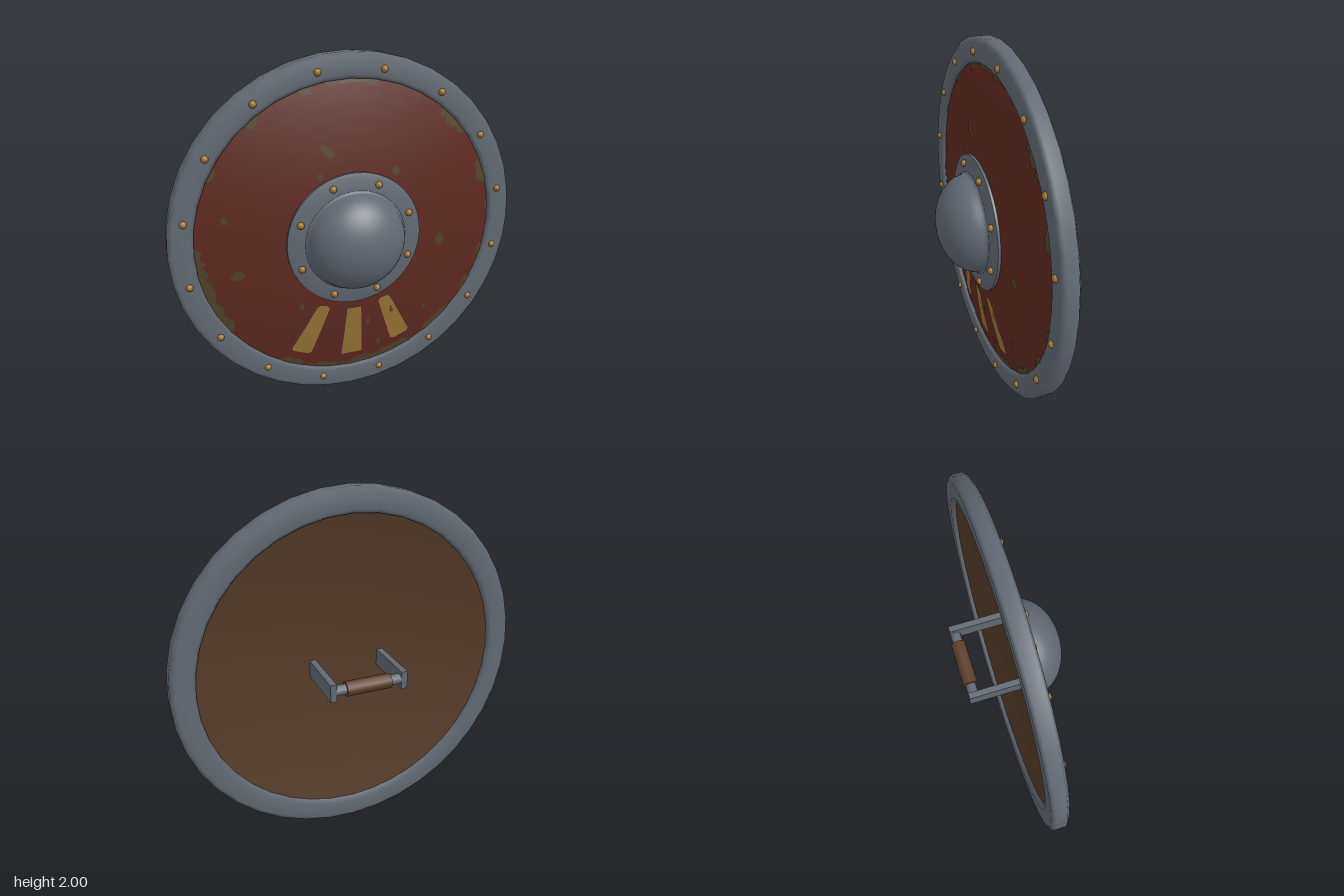
import * as THREE from 'three';
import { toCreasedNormals } from 'three/addons/utils/BufferGeometryUtils.js';

const mat = (name, color) => {
  const m = new THREE.MeshStandardMaterial({ color });
  m.name = name;
  return m;
};

// Height of the shallow dome of the board's front face at radius r
const boardZ = (r) => 0.086 - 0.125 * r * r;

// Surface of revolution about the z axis from [radius, z] points
function turned(points, segments) {
  const g = new THREE.LatheGeometry(points.map(([r, z]) => new THREE.Vector2(r, z)), segments);
  return g.rotateX(Math.PI / 2);
}

// Thin painted patch laid on the dome of the board
function paintPatch(points, lift) {
  const g = new THREE.ShapeGeometry(new THREE.Shape(points.map(([x, y]) => new THREE.Vector2(x, y))));
  const p = g.attributes.position;
  for (let i = 0; i < p.count; i++) p.setZ(i, boardZ(Math.hypot(p.getX(i), p.getY(i))) + lift);
  g.computeVertexNormals();
  return g;
}

export function createModel() {
  const steel = mat('steel', 0x626973);
  const red = mat('red paint', 0x5e2a21);
  const wood = mat('wood', 0x543b29);
  const bare = mat('worn wood', 0x52432d);
  const yellow = mat('yellow paint', 0x987636);
  const brass = mat('brass', 0xa07432);
  const leather = mat('leather', 0x5c3e2b);

  const model = new THREE.Group();
  model.name = 'roundShield';
  const shield = new THREE.Group();
  shield.name = 'shieldBody';
  shield.position.y = 1;
  model.add(shield);
  const add = (name, geometry, material, parent = shield) => {
    const m = new THREE.Mesh(geometry, material);
    m.name = name;
    parent.add(m);
    return m;
  };

  let seed = 7;
  const random = () => (seed = (seed * 16807) % 2147483647) / 2147483647;

  // Board: a domed shell, painted in front and bare wood in the hollow back
  const front = [], back = [];
  for (let i = 0; i <= 12; i++) {
    const r = (0.9 * i) / 12;
    front.unshift([r, boardZ(r)]);
    back.push([r, boardZ(r) - 0.046]);
  }
  add('boardFront', turned(front, 64), red);
  add('boardBack', turned(back, 64), wood);

  // Rim band wrapped around the edge, with softly shaded bevels
  add('rim', turned([
    [0.865, -0.03], [0.865, -0.062], [0.885, -0.08], [0.975, -0.08], [1, -0.064],
    [1, -0.002], [0.975, 0.015], [0.885, 0.015], [0.865, 0.005], [0.865, -0.03],
  ], 40), steel);

  // Central boss: flange and dome with a small flare at its foot
  const flange = turned([[0.385, 0.05], [0.385, 0.082], [0.37, 0.088], [0.29, 0.098], [0, 0.098]], 48);
  add('bossFlange', toCreasedNormals(flange, 0.4), steel);
  const dome = [[0.292, 0.096], [0.281, 0.104]];
  for (let i = 1; i <= 14; i++) {
    const a = (i / 14) * Math.PI / 2;
    dome.push([0.278 * Math.cos(a), 0.09 + 0.205 * Math.sin(a)]);
  }
  add('bossDome', turned(dome, 48), steel);

  // Rivets on rim and flange
  const rivetGeometry = new THREE.SphereGeometry(0.02, 12, 8);
  for (const [name, count, r, z] of [['rimRivet', 16, 0.922, 0.013], ['bossRivet', 8, 0.335, 0.094]]) {
    for (let i = 0; i < count; i++) {
      const a = ((i + 0.5) / count) * Math.PI * 2;
      add(name, rivetGeometry, brass).position.set(r * Math.cos(a), r * Math.sin(a), z);
    }
  }

  // Three painted rays below the boss
  const ray = [[0.25, -0.715], [0.275, -0.72], [0.36, -0.685], [0.365, -0.665], [0.293, -0.533], [0.222, -0.4],
    [0.205, -0.388], [0.165, -0.395], [0.148, -0.415], [0.199, -0.565]];
  add('paintedRay', paintPatch(ray, 0.005), yellow);
  add('paintedRay', paintPatch(ray.map(([x, y]) => [-x, y]).reverse(), 0.005), yellow);
  add('paintedRay', paintPatch([[-0.065, -0.77], [0.065, -0.77], [0.053, -0.6], [0.042, -0.435], [-0.042, -0.435],
    [-0.053, -0.6]], 0.005), yellow);

  // Worn spots: x, y, half length, half width, tilt
  const spots = [
    [-0.145, 0.505, 0.048, 0.024, -0.8], [-0.19, 0.375, 0.014, 0.02, 0], [0.235, 0.37, 0.022, 0.025, 0.3],
    [-0.65, -0.145, 0.038, 0.03, 0], [0.53, -0.08, 0.03, 0.034, 0], [-0.7, 0.18, 0.018, 0.022, 0],
    [-0.31, -0.375, 0.013, 0.03, 0.2], [0.24, -0.49, 0.014, 0.025, 0], [0.09, -0.55, 0.012, 0.03, 0],
    [0.17, -0.72, 0.014, 0.03, 0], [0.46, -0.52, 0.014, 0.018, 0],
  ];
  for (const [x, y, l, w, tilt] of spots) {
    const outline = [];
    for (let i = 0; i < 9; i++) {
      const a = (i / 9) * Math.PI * 2, k = 0.85 + 0.3 * random();
      const u = l * k * Math.cos(a), v = w * k * Math.sin(a);
      outline.push([x + u * Math.cos(tilt) - v * Math.sin(tilt), y + u * Math.sin(tilt) + v * Math.cos(tilt)]);
    }
    add('wornSpot', paintPatch(outline, 0.004), bare);
  }

  // Worn edge beside the rim: start and end angle in degrees, depth
  const edges = [
    [80, 99, 0.035], [104, 109, 0.05], [125, 130, 0.05], [38, 52, 0.05], [15, 26, 0.06], [3, 7, 0.03],
    [148, 153, 0.03], [178, 216, 0.055], [240, 250, 0.05], [252, 268, 0.035], [268, 297, 0.06],
    [303, 318, 0.05], [326, 334, 0.035], [344, 349, 0.03],
  ];
  for (const [from, to, depth] of edges) {
    const outer = [], inner = [], n = Math.max(4, Math.round((to - from) / 1.6));
    for (let i = 0; i <= n; i++) {
      const a = THREE.MathUtils.degToRad(from + ((to - from) * i) / n);
      const r = 0.866 - (i % n === 0 ? 0.01 : depth * (0.5 + 0.6 * random()));
      outer.push([0.87 * Math.cos(a), 0.87 * Math.sin(a)]);
      inner.unshift([r * Math.cos(a), r * Math.sin(a)]);
    }
    add('wornEdge', paintPatch([...outer, ...inner], 0.004), bare);
  }

  // Handle behind the board: two brackets, a bar and a wrapped grip
  const handle = new THREE.Group();
  handle.name = 'handle';
  shield.add(handle);
  for (const side of [1, -1]) {
    add('handleBracket', new THREE.BoxGeometry(0.035, 0.1, 0.335), steel, handle).position.set(side * 0.203, 0, -0.1195);
  }
  const bar = (name, radius, length, material) => {
    const g = new THREE.CylinderGeometry(radius, radius, length, 12);
    g.rotateZ(Math.PI / 2);
    add(name, g, material, handle).position.z = -0.258;
  };
  bar('handleBar', 0.029, 0.4, steel);
  bar('handleGrip', 0.041, 0.255, leather);

  return model;
}
